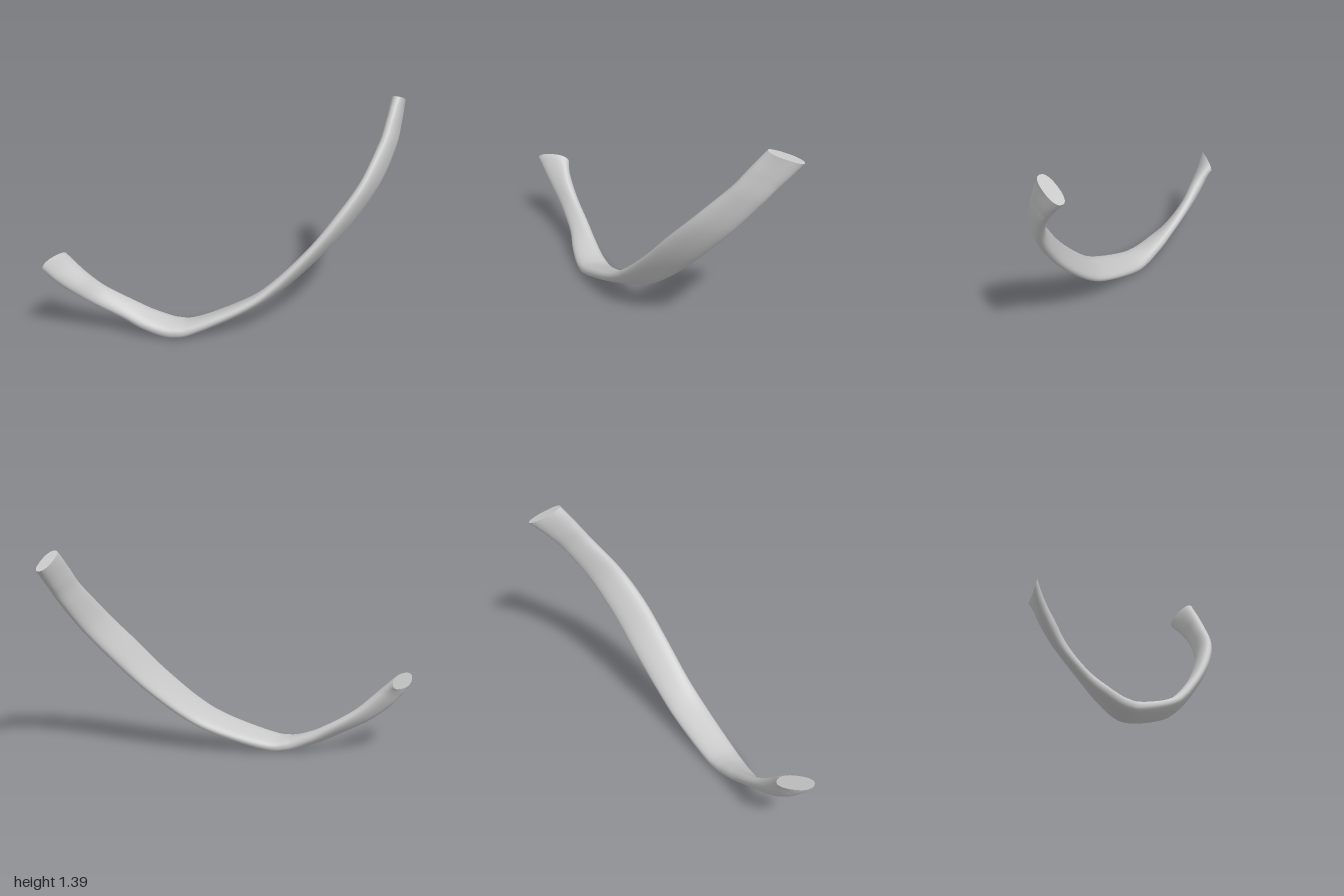
import * as THREE from 'three';

// Stations from the upper back tip to the lower front end:
// centre x, y, z, half width, half thickness, roll in degrees
const STATIONS = [
  [0.61, 1.35, -0.9, 0.108, 0.043, -32],
  [0.645, 1.23, -0.795, 0.1, 0.042, -20],
  [0.665, 1.1, -0.69, 0.097, 0.041, -9],
  [0.655, 0.9, -0.515, 0.108, 0.039, -3],
  [0.587, 0.7, -0.345, 0.116, 0.041, 0],
  [0.48, 0.5, -0.185, 0.116, 0.037, 0],
  [0.335, 0.3, -0.005, 0.11, 0.037, 0],
  [0.205, 0.183, 0.14, 0.108, 0.037, 0],
  [0, 0.072, 0.35, 0.1, 0.042, 0],
  [-0.12, 0.053, 0.46, 0.094, 0.048, 0],
  [-0.25, 0.1, 0.55, 0.084, 0.043, -6],
  [-0.37, 0.172, 0.625, 0.07, 0.036, -18],
  [-0.5, 0.268, 0.73, 0.068, 0.036, -28],
  [-0.59, 0.365, 0.815, 0.078, 0.042, -24],
  [-0.65, 0.445, 0.872, 0.09, 0.038, -12],
  [-0.688, 0.505, 0.908, 0.1, 0.034, 0],
];
const SIDES = 32;
const STEPS = 120;

const curve = (points) => new THREE.CatmullRomCurve3(points, false, 'catmullrom', 0.5);
const path = curve(STATIONS.map((s) => new THREE.Vector3(s[0], s[1], s[2])));
const sizes = curve(STATIONS.map((s) => new THREE.Vector3(s[3], s[4], s[5])));
const soft = (v) => Math.sign(v) * Math.abs(v) ** 0.85;

// One flattened oval section; the end sections slant along the shaft
function ring(u) {
  const centre = path.getPoint(u);
  const size = sizes.getPoint(u);
  const along = path.getTangent(u);
  const n = new THREE.Vector3(along.y, -along.x, 0).normalize();
  const m = new THREE.Vector3().crossVectors(n, along).normalize();
  const roll = THREE.MathUtils.degToRad(size.z);
  const wide = m.clone().multiplyScalar(Math.cos(roll)).addScaledVector(n, Math.sin(roll));
  const thin = n.clone().multiplyScalar(Math.cos(roll)).addScaledVector(m, -Math.sin(roll));
  const back = Math.max(0, 1 - u * 15);
  const front = Math.max(0, 1 - (1 - u) * 10);
  wide.addScaledVector(along, 0.35 * back + 0.42 * front);
  thin.addScaledVector(along, 1.1 * front);
  return Array.from({ length: SIDES }, (_, j) => {
    const a = (j / SIDES) * Math.PI * 2;
    return centre.clone()
      .addScaledVector(wide, size.x * soft(Math.cos(a)))
      .addScaledVector(thin, size.y * soft(Math.sin(a)));
  });
}

function geometryFrom(points, index) {
  const geometry = new THREE.BufferGeometry().setFromPoints(points);
  geometry.setIndex(index);
  geometry.computeVertexNormals();
  return geometry;
}

// Smooth skin joining all the sections
function shaftGeometry(rings) {
  const index = [];
  for (let i = 0; i < rings.length - 1; i++) {
    for (let j = 0; j < SIDES; j++) {
      const k = (j + 1) % SIDES;
      const a = i * SIDES + j, b = i * SIDES + k;
      index.push(a, b, a + SIDES, b, b + SIDES, a + SIDES);
    }
  }
  return geometryFrom(rings.flat(), index);
}

// Flat cut face closing one end
function capGeometry(points, reversed) {
  const centre = new THREE.Vector3();
  points.forEach((p) => centre.addScaledVector(p, 1 / SIDES));
  const index = [];
  for (let j = 0; j < SIDES; j++) {
    const k = (j + 1) % SIDES;
    index.push(SIDES, reversed ? k : j, reversed ? j : k);
  }
  return geometryFrom([...points, centre], index);
}

export function createModel() {
  const group = new THREE.Group();
  group.name = 'ribBone';
  const bone = new THREE.MeshStandardMaterial({ color: 0xc8c8c8 });
  bone.name = 'boneGrey';

  const add = (name, geometry) => {
    const mesh = new THREE.Mesh(geometry, bone);
    mesh.name = name;
    group.add(mesh);
  };

  const rings = Array.from({ length: STEPS + 1 }, (_, i) => ring(i / STEPS));
  add('ribShaft', shaftGeometry(rings));
  add('backEndFace', capGeometry(rings[0], true));
  add('frontEndFace', capGeometry(rings[STEPS], false));
  return group;
}
